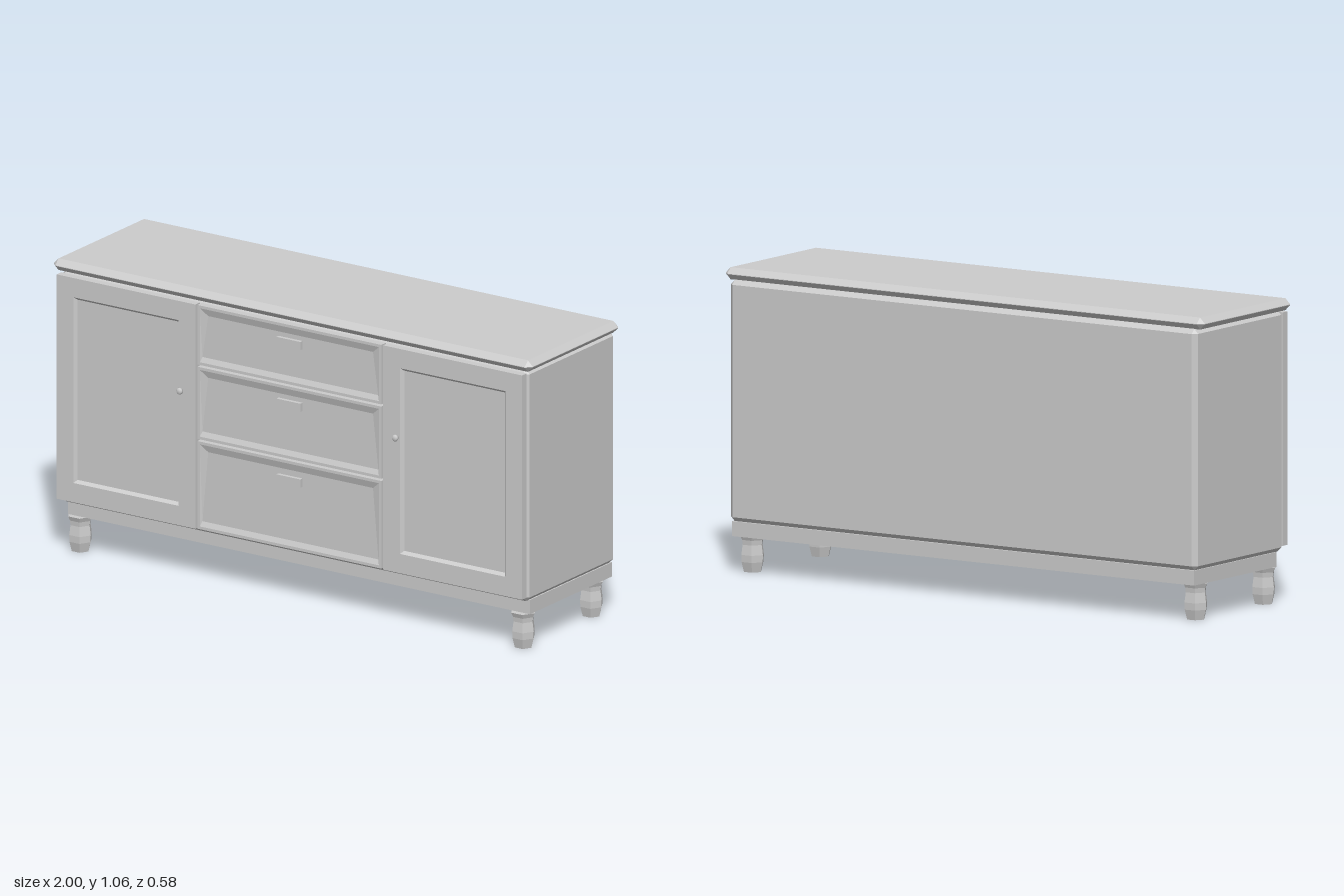
import * as THREE from 'three';
import { ConvexGeometry } from 'three/addons/geometries/ConvexGeometry.js';

const paint = new THREE.MeshStandardMaterial({ color: 0xcccccc });
paint.name = 'pale grey paint';

function add(parent, name, geometry, x = 0, y = 0, z = 0) {
  const mesh = new THREE.Mesh(geometry, paint);
  mesh.name = name;
  mesh.position.set(x, y, z);
  parent.add(mesh);
  return mesh;
}

// Box with every edge cut at 45 degrees
function chamferBox(w, h, d, c) {
  const points = [];
  for (const sx of [-1, 1]) for (const sy of [-1, 1]) for (const sz of [-1, 1]) {
    for (let axis = 0; axis < 3; axis++) {
      const half = [w / 2, h / 2, d / 2].map((v, i) => (i === axis ? v : v - c));
      points.push(new THREE.Vector3(sx * half[0], sy * half[1], sz * half[2]));
    }
  }
  return new ConvexGeometry(points);
}

// Solid skinned over four-cornered loops, running from the back to the front
function loopSolid(loops) {
  const p = [];
  const quad = (a, b, c, d) => p.push(...a, ...b, ...c, ...a, ...c, ...d);
  for (let k = 0; k < loops.length - 1; k++) {
    const a = loops[k], b = loops[k + 1];
    for (let i = 0; i < 4; i++) {
      const j = (i + 1) % 4;
      quad(a[i], a[j], b[j], b[i]);
    }
  }
  const first = loops[0], last = loops[loops.length - 1];
  quad(first[3], first[2], first[1], first[0]);
  quad(last[0], last[1], last[2], last[3]);
  const geometry = new THREE.BufferGeometry();
  geometry.setAttribute('position', new THREE.Float32BufferAttribute(p, 3));
  geometry.computeVertexNormals();
  return geometry;
}

// Front panel with a sunken field; the field may taper towards its top
function sunkenPanel(w, h, rim, slope, depth, zBack, zFront) {
  const loop = (sideLow, sideHigh, low, high, z) => [
    [-w / 2 + sideLow, -h / 2 + low, z], [w / 2 - sideLow, -h / 2 + low, z],
    [w / 2 - sideHigh, h / 2 - high, z], [-w / 2 + sideHigh, h / 2 - high, z],
  ];
  return loopSolid([
    loop(0, 0, 0, 0, zBack),
    loop(0, 0, 0, 0, zFront),
    loop(rim, rim, rim, rim, zFront),
    loop(rim + slope.sideLow, rim + slope.sideHigh, rim + slope.low, rim + slope.high, zFront - depth),
  ]);
}

export function createModel() {
  const model = new THREE.Group();
  model.name = 'sideboard';

  // Carcass
  add(model, 'top', chamferBox(2, 0.042, 0.56, 0.02), 0, 1.041, -0.01);
  add(model, 'body', chamferBox(1.95, 0.842, 0.538, 0.016), 0, 0.6, -0.021);
  add(model, 'plinth', new THREE.BoxGeometry(1.93, 0.052, 0.5), 0, 0.154, -0.034);

  // Doors with their knobs
  const even = { sideLow: 0.01, sideHigh: 0.01, low: 0.01, high: 0.01 };
  const knobProfile = [[0, 0], [0.006, 0], [0.006, 0.006], [0.012, 0.01], [0.012, 0.016], [0.008, 0.021], [0, 0.021]]
    .map(([r, y]) => new THREE.Vector2(r, y));
  for (const [side, s] of [['left', 1], ['right', -1]]) {
    add(model, side + 'Door', sunkenPanel(0.58, 0.814, 0.07, even, 0.012, 0.246, 0.274), s * 0.682, 0.605);
    const knob = add(model, side + 'Knob', new THREE.LatheGeometry(knobProfile, 12), s * 0.45, 0.69, 0.273);
    knob.rotation.x = Math.PI / 2;
  }

  // Drawers with their pulls: [bottom, top, pull height]
  const scoop = { sideLow: 0.006, sideHigh: 0.03, low: 0.018, high: 0.025 };
  [[0.2, 0.518, 0.447], [0.526, 0.788, 0.722], [0.796, 1.012, 0.946]].forEach(([low, high, pullY], i) => {
    const name = ['lower', 'middle', 'upper'][i];
    add(model, name + 'Drawer', sunkenPanel(0.768, high - low, 0.01, scoop, 0.008, 0.246, 0.274), 0, (low + high) / 2);
    add(model, name + 'DrawerPull', new THREE.BoxGeometry(0.1, 0.03, 0.02), 0, pullY, 0.27);
  });

  // Six-sided turned legs
  const legProfile = [[0, 0], [0.033, 0], [0.042, 0.035], [0.043, 0.06], [0.038, 0.095], [0.04, 0.112], [0.047, 0.128], [0, 0.128]]
    .map(([r, y]) => new THREE.Vector2(r, y));
  const legGeometry = new THREE.LatheGeometry(legProfile, 6, Math.PI / 6).toNonIndexed();
  legGeometry.computeVertexNormals();
  for (const [side, x] of [['Left', 0.925], ['Right', -0.925]]) {
    add(model, 'front' + side + 'Leg', legGeometry, x, 0, 0.197);
    add(model, 'back' + side + 'Leg', legGeometry, x, 0, -0.216);
  }
  return model;
}
